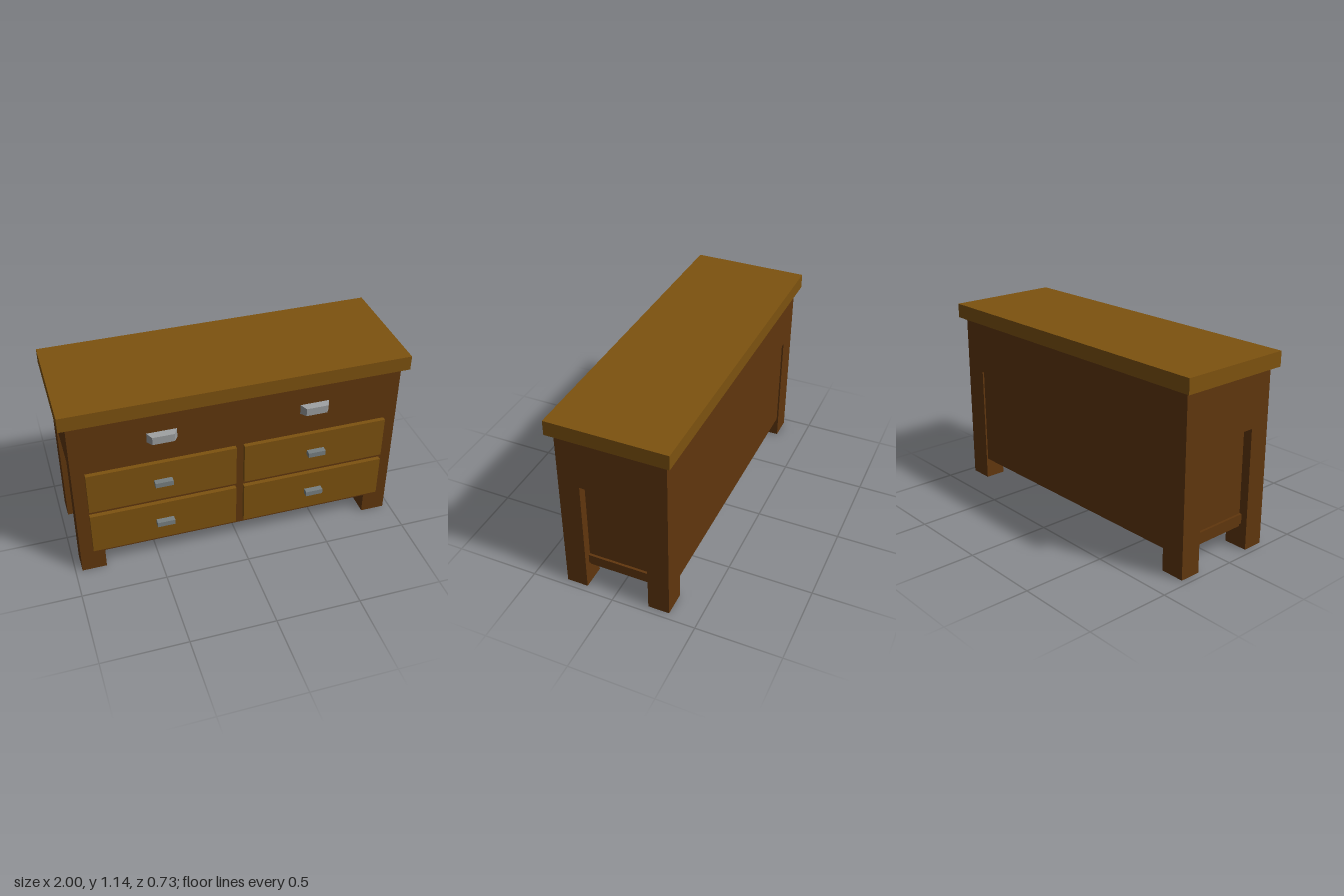
import * as THREE from 'three';

const material = (color) => new THREE.MeshStandardMaterial({ color, flatShading: true });

export function createModel() {
  const model = new THREE.Group();
  const frameWood = material(0x60360d);
  const panelWood = material(0x7d520f);
  const steel = material(0x777f80);
  const paleSteel = material(0x9b9d9f);

  function add(name, geometry, mat) {
    const mesh = new THREE.Mesh(geometry, mat);
    mesh.name = name;
    model.add(mesh);
    return mesh;
  }

  // Box given by its lower and upper limits on each axis
  function block(name, mat, [x0, x1], [y0, y1], [z0, z1]) {
    const mesh = add(name, new THREE.BoxGeometry(x1 - x0, y1 - y0, z1 - z0), mat);
    mesh.position.set((x0 + x1) / 2, (y0 + y1) / 2, (z0 + z1) / 2);
    return mesh;
  }

  const W = 0.96, front = 0.302, back = -0.33;      // outer frame
  const legX = 0.815, legF = 0.176, legB = -0.204;  // inner corners of the legs
  const sideX = 0.907, panelBack = -0.32;           // recessed panels
  const floorY = 0.127, recessTop = 0.725, frameTop = 1.05;

  // Worktop and the plain upper part of the frame
  block('worktop', panelWood, [-1, 1], [frameTop, 1.137], [-0.363, 0.333]);
  block('upperFrame', frameWood, [-W, W], [recessTop, frameTop], [back, front]);

  // Lower carcass: plan outline with recesses at the sides and the back
  const half = [
    [W, front], [W, legF], [sideX, legF], [sideX, legB],
    [W, legB], [W, back], [legX, back], [legX, panelBack],
  ];
  const outline = [...half, ...half.map(([x, z]) => [-x, z]).reverse()];
  const plan = new THREE.Shape(outline.map(([x, z]) => new THREE.Vector2(x, -z)));
  const carcass = new THREE.ExtrudeGeometry(plan, { depth: recessTop - floorY, bevelEnabled: false });
  carcass.rotateX(-Math.PI / 2);
  add('lowerCarcass', carcass, frameWood).position.y = floorY;

  // Tapered pull: a box whose front end is narrowed
  const taperedPull = new THREE.BoxGeometry(0.172, 0.06, 0.04);
  const p = taperedPull.attributes.position;
  for (let i = 0; i < p.count; i++) {
    if (p.getZ(i) > 0) p.setXY(i, p.getX(i) * 0.73, p.getY(i) * 0.8);
  }
  taperedPull.computeVertexNormals();

  for (const s of [-1, 1]) {
    const side = s < 0 ? 'right' : 'left';
    const span = (a, b) => (s > 0 ? [a, b] : [-b, -a]);

    // Feet below the carcass
    block(side + 'FrontFoot', frameWood, span(legX, W), [0, floorY], [legF, front]);
    block(side + 'BackFoot', frameWood, span(legX, W), [0, floorY], [back, legB]);

    // Low rail across the side recess
    block(side + 'SideRail', frameWood, span(sideX - 0.02, sideX + 0.015), [0.15, 0.208], [legB, legF]);

    // Two drawers with bar pulls
    for (const [row, y0, y1] of [['Lower', 0.16, 0.422], ['Upper', 0.457, 0.717]]) {
      const mid = (y0 + y1) / 2;
      block(side + row + 'Drawer', panelWood, span(0.024, 0.885), [y0, y1], [front, 0.328]);
      block(side + row + 'DrawerPull', steel, span(0.403, 0.507), [mid - 0.015, mid + 0.016], [0.328, 0.363]);
    }

    // Tapered pull on the upper frame
    add(side + 'TopPull', taperedPull, paleSteel).position.set(s * 0.444, 0.887, front + 0.02);
  }

  return model;
}
